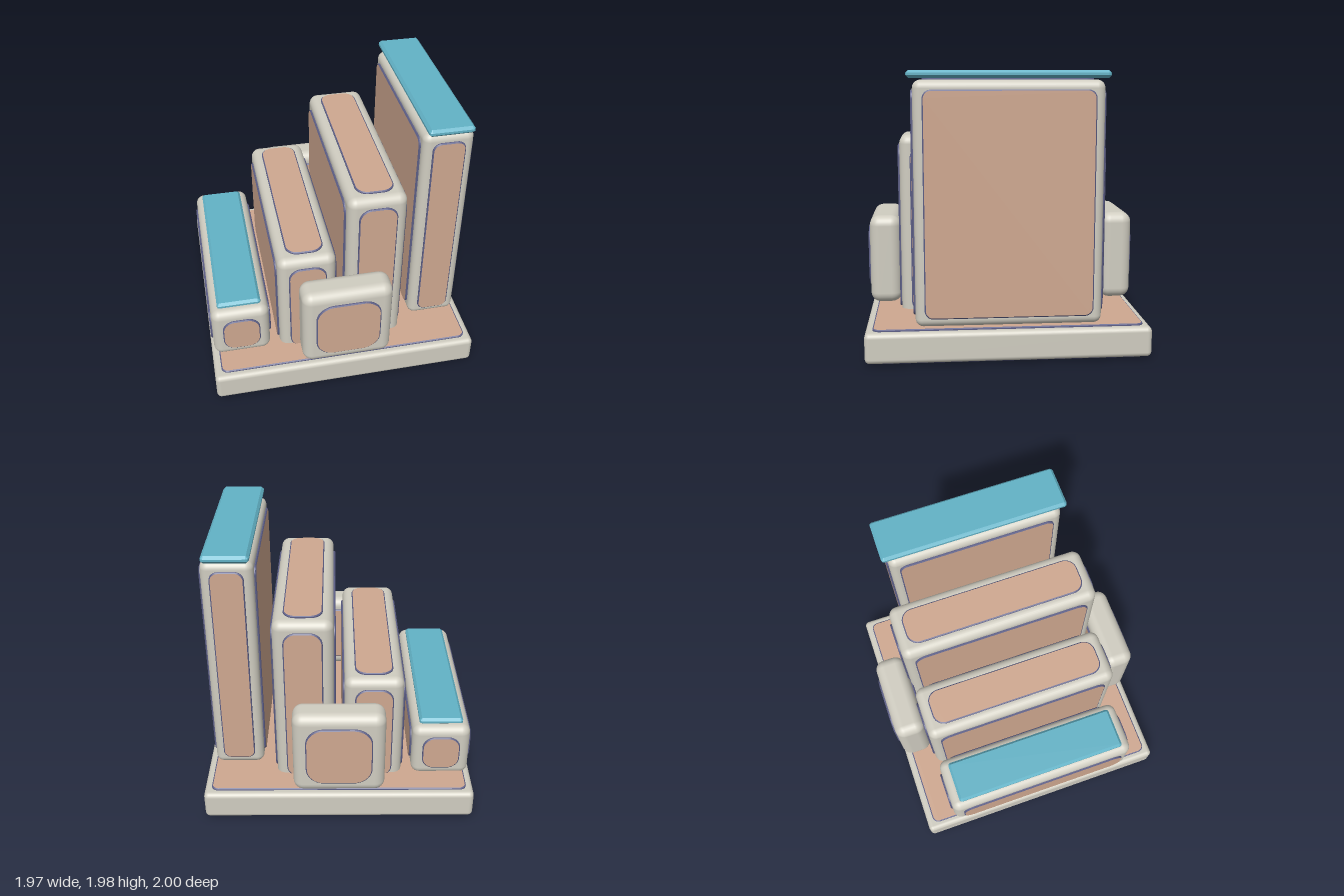
import * as THREE from 'three';
import { RoundedBoxGeometry } from 'three/addons/geometries/RoundedBoxGeometry.js';

const mat = (name, color) => {
  const m = new THREE.MeshStandardMaterial({ color });
  m.name = name;
  return m;
};

function roundedRect(w, h, r) {
  const s = new THREE.Shape();
  const x = w / 2, y = h / 2;
  s.moveTo(-x + r, -y);
  s.lineTo(x - r, -y);
  s.absarc(x - r, -y + r, r, -Math.PI / 2, 0);
  s.lineTo(x, y - r);
  s.absarc(x - r, y - r, r, 0, Math.PI / 2);
  s.lineTo(-x + r, y);
  s.absarc(-x + r, y - r, r, Math.PI / 2, Math.PI);
  s.lineTo(-x, -y + r);
  s.absarc(-x + r, -y + r, r, Math.PI, Math.PI * 1.5);
  return s;
}

export function createModel() {
  const stone = mat('warm grey', 0xd0cdc1);
  const tan = mat('tan', 0xcfa890);
  const rim = mat('slate violet', 0x5e6088);
  const teal = mat('teal', 0x62b2c6);
  const model = new THREE.Group();
  model.name = 'steppedBlocks';

  const PROUD = 0.014;      // how far a panel stands out of its block
  const H = Math.PI / 2;
  const faces = {
    front: [0, 0, 1, 0, 0], back: [0, 0, -1, 0, Math.PI],
    left: [1, 0, 0, 0, H], right: [-1, 0, 0, 0, -H],
    top: [0, 1, 0, -H, 0], bottom: [0, -1, 0, H, 0],
  };

  // Raised panel: tan face with a bevelled violet rim
  function panel(name, w, h, r) {
    const g = new THREE.ExtrudeGeometry(roundedRect(w, h, r), {
      depth: 0.012, bevelEnabled: true, bevelThickness: 0.006, bevelSize: 0.008,
      bevelOffset: -0.008, bevelSegments: 1, curveSegments: 6,
    });
    g.translate(0, 0, PROUD - 0.018);
    const m = new THREE.Mesh(g, [tan, rim]);
    m.name = name;
    return m;
  }

  // Rounded block given by its bounds, with panels on the listed faces
  function block(name, [x0, x1], [y0, y1], [z0, z1], radius, inset, panelR, sides) {
    const group = new THREE.Group();
    group.name = name;
    const w = x1 - x0, h = y1 - y0, d = z1 - z0;
    const body = new THREE.Mesh(new RoundedBoxGeometry(w, h, d, 4, radius), stone);
    body.name = name + 'Body';
    group.add(body);
    for (const side of sides) {
      const [nx, ny, nz, rx, ry] = faces[side];
      const pw = (nx ? d : w) - 2 * inset;
      const ph = (ny ? d : h) - 2 * inset;
      const p = panel(side + 'Panel', pw, ph, panelR);
      p.position.set(nx * w / 2, ny * h / 2, nz * d / 2);
      p.rotation.set(rx, ry, 0);
      group.add(p);
    }
    group.position.set((x0 + x1) / 2, (y0 + y1) / 2, (z0 + z1) / 2);
    model.add(group);
  }

  // Chamfered teal slab lying on a block
  function cap(name, x, yTop, w, d) {
    const b = 0.018;
    const g = new THREE.ExtrudeGeometry(roundedRect(w, d, 0.02), {
      depth: 0.016, bevelEnabled: true, bevelThickness: b, bevelSize: b,
      bevelOffset: -b, bevelSegments: 1, curveSegments: 1,
    });
    g.translate(0, 0, -0.016 - b);
    g.rotateX(-H);
    const m = new THREE.Mesh(g, teal);
    m.name = name;
    m.position.set(x, yTop, 0);
    model.add(m);
  }

  const around = ['front', 'back', 'left', 'right', 'top'];

  // Base slab
  block('base', [-0.985, 0.985], [0.014, 0.228], [-0.985, 0.985], 0.035, 0.052, 0.05, ['top', 'bottom']);

  // Four steps rising to the left
  block('lowStep', [-0.965, -0.54], [0.215, 0.64], [-0.75, 0.75], 0.065, 0.075, 0.09, around);
  block('secondStep', [-0.465, -0.04], [0.14, 1.06], [-0.75, 0.75], 0.065, 0.075, 0.09, around);
  block('thirdStep', [0.035, 0.46], [0.14, 1.52], [-0.75, 0.75], 0.065, 0.075, 0.09, around);
  block('tallStep', [0.567, 0.927], [0.245, 1.912], [-0.64, 0.64], 0.055, 0.063, 0.06, around);

  // Teal caps
  cap('lowCap', -0.753, 0.675, 0.32, 1.36);
  cap('tallCap', 0.747, 1.975, 0.32, 1.36);

  // Small blocks at front and back
  const ends = ['front', 'back'];
  block('frontBlock', [-0.33, 0.33], [0.25, 0.91], [0.754, 0.986], 0.075, 0.093, 0.13, ends);
  block('backBlock', [-0.33, 0.33], [0.25, 0.91], [-0.986, -0.754], 0.075, 0.093, 0.13, ends);

  return model;
}
